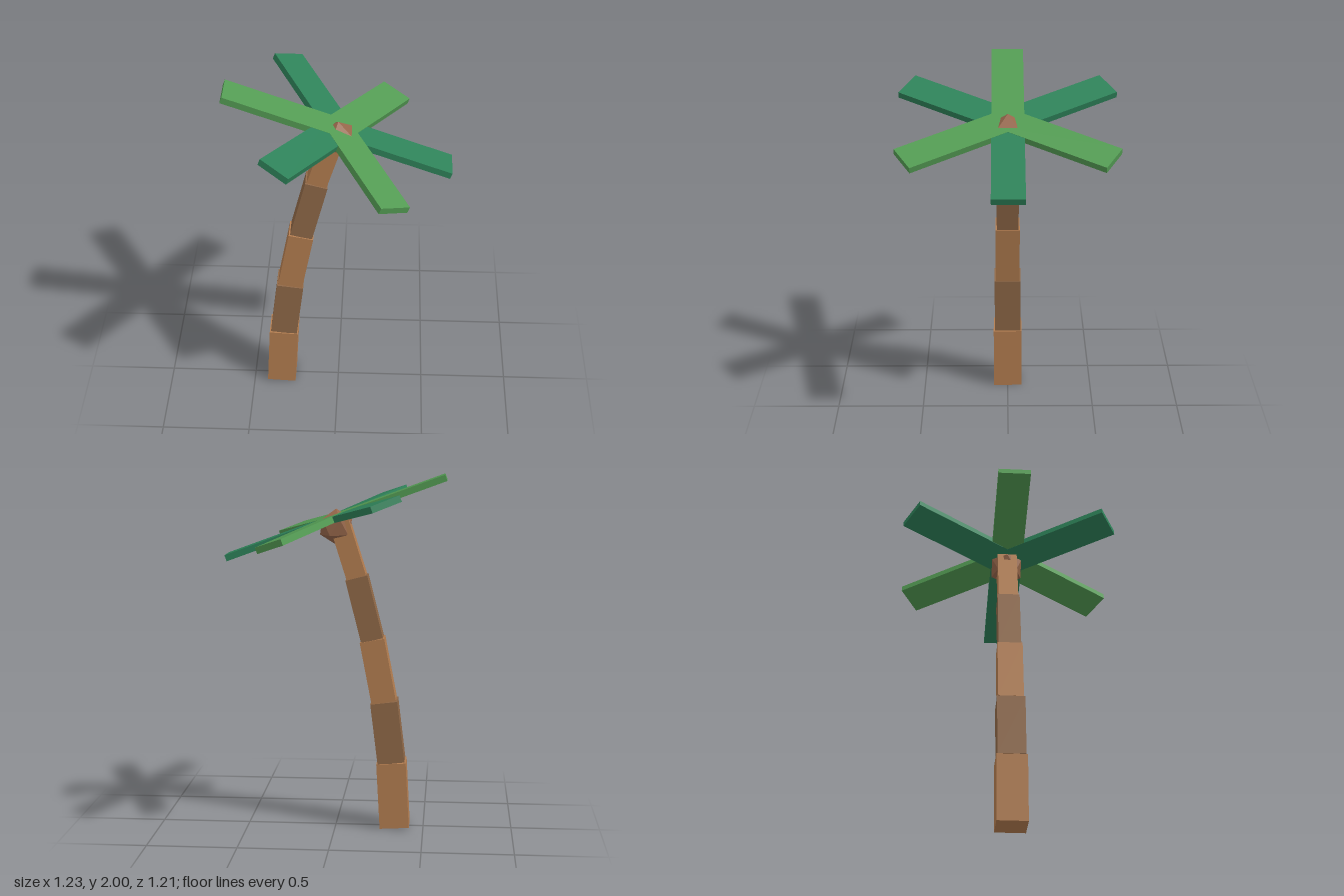
import * as THREE from 'three';

const material = (color) => new THREE.MeshStandardMaterial({ color, flatShading: true });

export function createModel() {
  const palm = new THREE.Group();
  palm.name = 'palmTree';
  const barkLight = material(0xb37d50);
  const barkDark = material(0x8f6847);
  const leafLight = material(0x539b53);
  const leafDark = material(0x2e8259);
  const nutBrown = material(0x95664a);

  const add = (parent, name, geometry, mat) => {
    const mesh = new THREE.Mesh(geometry, mat);
    mesh.name = name;
    parent.add(mesh);
    return mesh;
  };

  // Trunk: stacked square blocks, each thinner and leaning further
  const trunk = new THREE.Group();
  trunk.name = 'trunk';
  palm.add(trunk);
  const joints = [[-0.338, 0.005], [-0.317, 0.38], [-0.274, 0.728], [-0.206, 1.08], [-0.117, 1.43], [-0.01, 1.77]];
  for (let i = 0; i < 5; i++) {
    const [x0, y0] = joints[i];
    const [x1, y1] = joints[i + 1];
    const width = 0.166 - i * 0.0137;
    const block = add(trunk, `trunkBlock${i + 1}`,
      new THREE.BoxGeometry(width, Math.hypot(x1 - x0, y1 - y0), width), i % 2 ? barkDark : barkLight);
    block.position.set((x0 + x1) / 2, (y0 + y1) / 2, 0);
    block.rotation.z = -Math.atan2(x1 - x0, y1 - y0);
  }

  // Crown: six flat fronds in alternating greens, tilted as one wheel
  const crown = new THREE.Group();
  crown.name = 'crown';
  crown.position.y = 1.761;
  crown.rotation.z = -THREE.MathUtils.degToRad(20.2);
  palm.add(crown);
  const inner = -0.06, outer = 0.648;
  for (let i = 0; i < 6; i++) {
    const frond = add(crown, `frond${i + 1}`,
      new THREE.BoxGeometry(outer - inner, 0.036, 0.18).translate((inner + outer) / 2, 0, 0),
      i % 2 ? leafLight : leafDark);
    frond.rotation.y = i * Math.PI / 3;
    frond.position.y = i % 2 ? 0.001 : 0; // light fronds lie just on top
  }

  // Faceted nut under the crown, standing on a vertex so its tip pokes through
  const nut = add(palm, 'nut', new THREE.IcosahedronGeometry(0.1, 0), nutBrown);
  nut.position.y = 1.71;
  nut.rotation.z = Math.atan(2 / (1 + Math.sqrt(5)));

  return palm;
}
